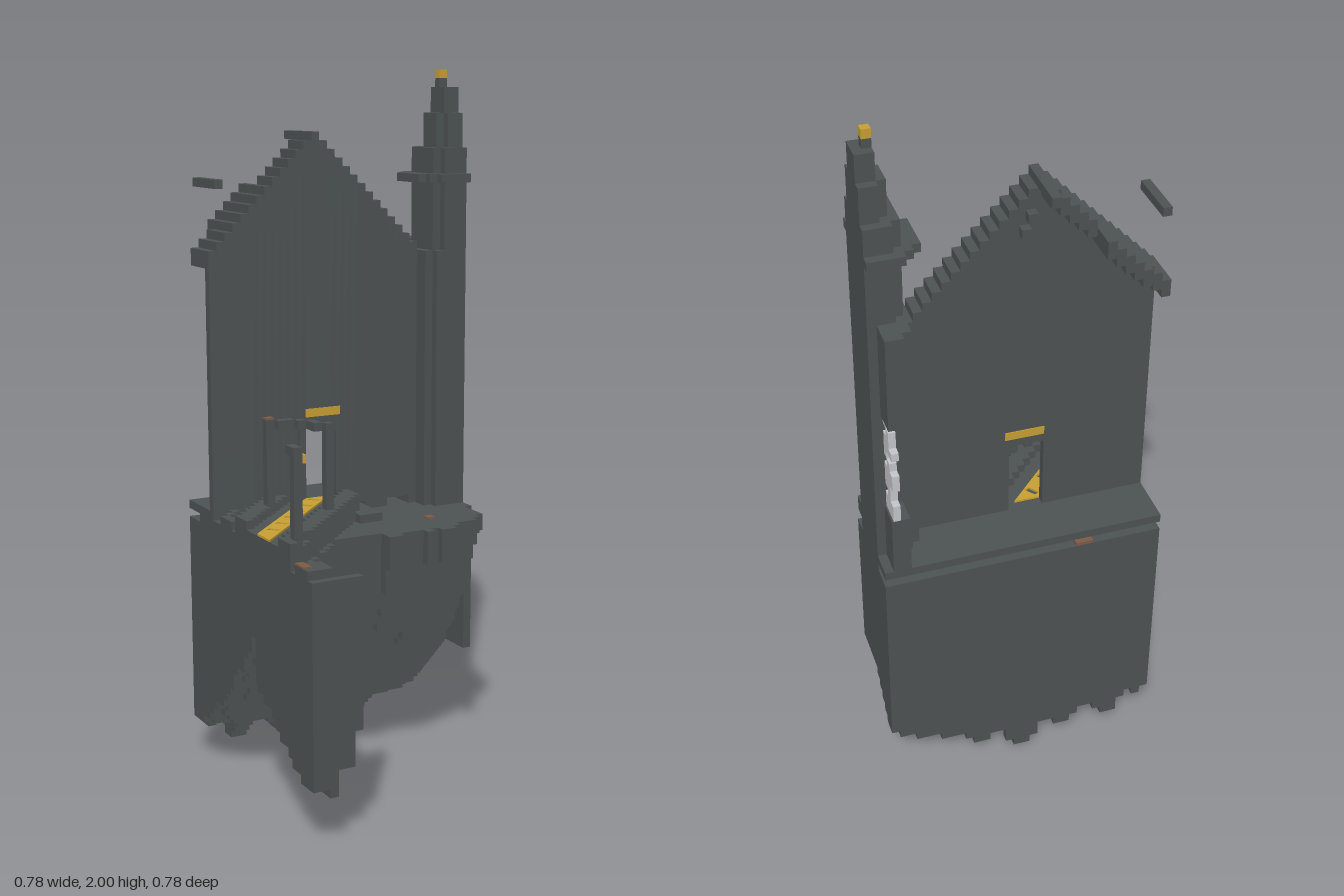
import * as THREE from 'three';
import { mergeGeometries } from 'three/addons/utils/BufferGeometryUtils.js';

const V = 2 / 82;              // one cube
const N = 32;                  // cubes across and deep
const mat = (name, color) => { const m = new THREE.MeshStandardMaterial({ color }); m.name = name; return m; };
const hash = (a, b) => { const s = Math.sin(a * 12.9898 + b * 78.233) * 43758.5453; return s - Math.floor(s); };

// Block between cube indices: i along x, j up, k along z
function block(i0, i1, j0, j1, k0, k1) {
  const g = new THREE.BoxGeometry((i1 - i0) * V, (j1 - j0) * V, (k1 - k0) * V);
  return g.translate(((i0 + i1) / 2 - 16) * V, (j0 + j1) / 2 * V, ((k0 + k1) / 2 - 16) * V);
}

// Front edge of the rock, in cubes, for each column along x
const EDGE = [32, 32, 32, 25, 24, 22, 22, 21, 20, 18, 18, 18, 18, 18, 18, 18,
  20, 20, 19, 19, 19, 20, 19, 20, 20, 19, 18, 18, 18, 17, 16, 12];

// Top of the rock: sunken causeway between low curbs, rubble beside it
function topOf(i, k) {
  const off = Math.abs((i + k - 31) * V + 0.28);
  if (i < 17 && k >= 7 && off < 0.17) {
    if (off < 0.09) return 32;
    return k > 21 && hash(i, k) > 0.6 ? 32 : 33;
  }
  if (i + k < 20 && i < 13 && k >= 7) return 31 + (hash(i, k) > 0.6 ? 1 : 0);
  if (i < 3 && k > 27 && k < 31) return 31;
  if (i < 19 && i > 15 && k > 6 && k < 13) return 31;
  return 30;
}

// Underside: a bowl under the main rock, a rising arch under the side arm
function bottomOf(i, k) {
  const x = (i - 15.5) * V, z = (k - 15.5) * V;
  const n = hash(i >> 1, k >> 1) - 0.5;
  if (i < 9 && k >= 18) {
    const y = Math.max(0.17, 0.35 - 0.62 * (z - 0.05)) + 0.04 * Math.max(0, i - 2) + n * 0.04;
    return Math.round(y / V);
  }
  const reach = i < 9 ? 20 : i < 20 ? 19 : 19 - 6 * ((i - 20) / 11) ** 2;
  const t = Math.min(1, k / reach);
  let y = 0.09 + 0.09 * (Math.abs(x) / 0.39) ** 5 * (x > 0 ? 1 : 0.4)
    + 0.43 * t ** 1.45 + 0.12 * t ** 10 + n * 0.02;
  // Hanging points under the back edge
  for (const c of [4.5, 10.5, 15.5, 20.5]) {
    const depth = c === 15.5 ? 0.1 : 0.06;
    y -= Math.max(0, depth - Math.abs(i - c) * 0.03) * Math.max(0, 1 - k / 6);
  }
  return Math.max(0, Math.min(28, Math.round(y / V)));
}

export function createModel() {
  const root = new THREE.Group();
  const stone = mat('darkStone', 0x4d5253);
  const gold = mat('gold', 0xc79f32);
  const brown = mat('brown', 0x7d5a46);
  const pane = mat('paleGlass', 0xc4c5c8);
  const add = (name, parts, material) => {
    const m = new THREE.Mesh(mergeGeometries(parts), material);
    m.name = name;
    root.add(m);
  };

  // Floating rock
  const rock = [];
  for (let i = 0; i < N; i++) {
    for (let k = 0; k < EDGE[i]; k++) rock.push(block(i, i + 1, bottomOf(i, k), topOf(i, k), k, k + 1));
  }
  rock.push(block(3, 5, 9, 30, 31, 32), block(5, 6, 13, 30, 31, 32));
  rock.push(block(15, 16, 0, 4, 0, 1));
  rock.push(block(1, 2, 13, 15, 16, 17), block(1, 2, 14, 16, 17, 18));
  // Flat cut face below the tower
  rock.push(block(31, 32, 12, 30, 7, 12));
  add('rock', rock, stone);

  // Floor slab behind the gable, with gaps under it
  const gap = i => i === 19 || (i > 22 && i < 26);
  const floor = [block(0, 32, 31, 32, 0, 7)];
  for (let i = 0; i < N; i++) if (!gap(i)) floor.push(block(i, i + 1, 30, 31, 3, 7));
  add('floor', floor, stone);

  // Stepped gable wall with a doorway
  const wall = [];
  const gableTop = i => 75 - Math.abs(i - 13);
  for (let i = 0; i < 28; i++) {
    const door = i >= 12 && i < 16;
    const base = door ? (i === 15 ? 40 : 41) : gap(i) ? 31 : 30;
    wall.push(block(i, i + 1, base, gableTop(i), 6, 7));
  }
  add('gableWall', wall, stone);

  // Broken remains of the stepped roof
  const roof = [];
  for (let i = 0; i < 28; i++) {
    const back = i === 13 ? 0 : i < 3 ? 2 : i < 8 ? 0 : i < 13 ? 3 : 4;
    roof.push(block(i, i + 1, gableTop(i) - (i === 13 ? 1 : 2), gableTop(i), back, 7));
  }
  roof.push(block(0, 1, 69, 70, 3, 9));
  roof.push(block(15, 16, 72, 73, 1, 2), block(16, 17, 71, 72, 0, 1));
  add('roofRemains', roof, stone);

  // Side wall stub and its broken window
  add('sideWall', [block(29, 31, 32, 39, 0, 4), block(29, 31, 51, 62, 0, 4), block(29, 30, 39, 51, 3, 4),
    block(28, 31, 61, 62, 1, 4)], stone);
  const panes = [];
  for (let j = 39; j < 51; j++) {
    const cut = j % 4 === 1 ? 1 : Math.floor(hash(j, 5) * 3);
    panes.push(block(30, 30.8, j, j + 1, cut, j % 4 === 1 ? 2 : 3));
  }
  add('brokenWindow', panes, pane);

  // Eight-sided corner tower, cut flat on its outer side
  const tower = [];
  const tier = (west, half, j0, j1, cuts = 1) => {
    for (let c = 0; c <= cuts; c++) {
      const h = half - cuts + c;
      tower.push(block(west + c, 32, j0, j1, 6.5 - h, 6.5 + h));
    }
  };
  tier(27, 3.5, 30, 61);
  tier(28, 3.5, 61, 73);
  tier(26, 4.5, 69, 70, 2);
  tier(29, 2.5, 73, 77);
  tower.push(block(30, 32, 77, 80, 5, 8), block(30, 31, 80, 81, 6, 7));
  add('tower', tower, stone);
  add('towerFinial', [block(30, 31, 81, 82, 6, 7)], gold);

  // Lamp post at the broken end, and a diagonal gateway with a hanging lantern
  const posts = [block(1, 2, 30, 43, 25, 26), block(1, 2, 42, 43, 24, 25),
    block(10, 11, 30, 43, 15, 16), block(5, 6, 30, 43, 10, 11)];
  for (const [i, k] of [[9, 14], [9, 13], [8, 12], [7, 11], [6, 11]]) posts.push(block(i, i + 1, 42, 43, k, k + 1));
  posts.push(block(8.3, 8.7, 39, 42, 12.3, 12.7));
  add('lampPosts', posts, stone);
  add('lantern', [block(8, 9, 38, 39, 12, 13)], gold);

  // Gold inlay along the causeway, with small dark lozenges left open
  const strip = new THREE.Shape([[-0.1, -0.22], [-0.025, -0.22], [-0.39, 0.145], [-0.39, 0.07]]
    .map(([x, z]) => new THREE.Vector2(x, -z)));
  for (let s = 0; s < 6; s++) {
    const x = -0.086 - s * 0.0495, y = 0.279 + x;
    strip.holes.push(new THREE.Path([[-0.018, 0.01], [0.003, -0.017], [0.018, -0.01], [-0.003, 0.017]]
      .map(([a, b]) => new THREE.Vector2(x + a, y + b))));
  }
  add('goldInlay', [new THREE.ExtrudeGeometry(strip, { depth: 0.006, bevelEnabled: false })
    .rotateX(-Math.PI / 2).translate(0, 32 * V, 0)], gold);
  add('doorLintel', [block(12, 16.5, 42, 43, 5.9, 7.1)], gold);

  // Bare earth patches
  const earth = [[3, 9, 1], [24, 14, 1], [0, 28, 2]].map(([i, k, d]) => {
    const y = topOf(i, k);
    return block(i, i + 1, y, y + 0.2, k, k + d);
  });
  earth.push(block(5, 6, 43, 43.2, 10, 11), block(8, 10, 30, 30.4, 0, 1));
  add('earthPatches', earth, brown);

  return root;
}
